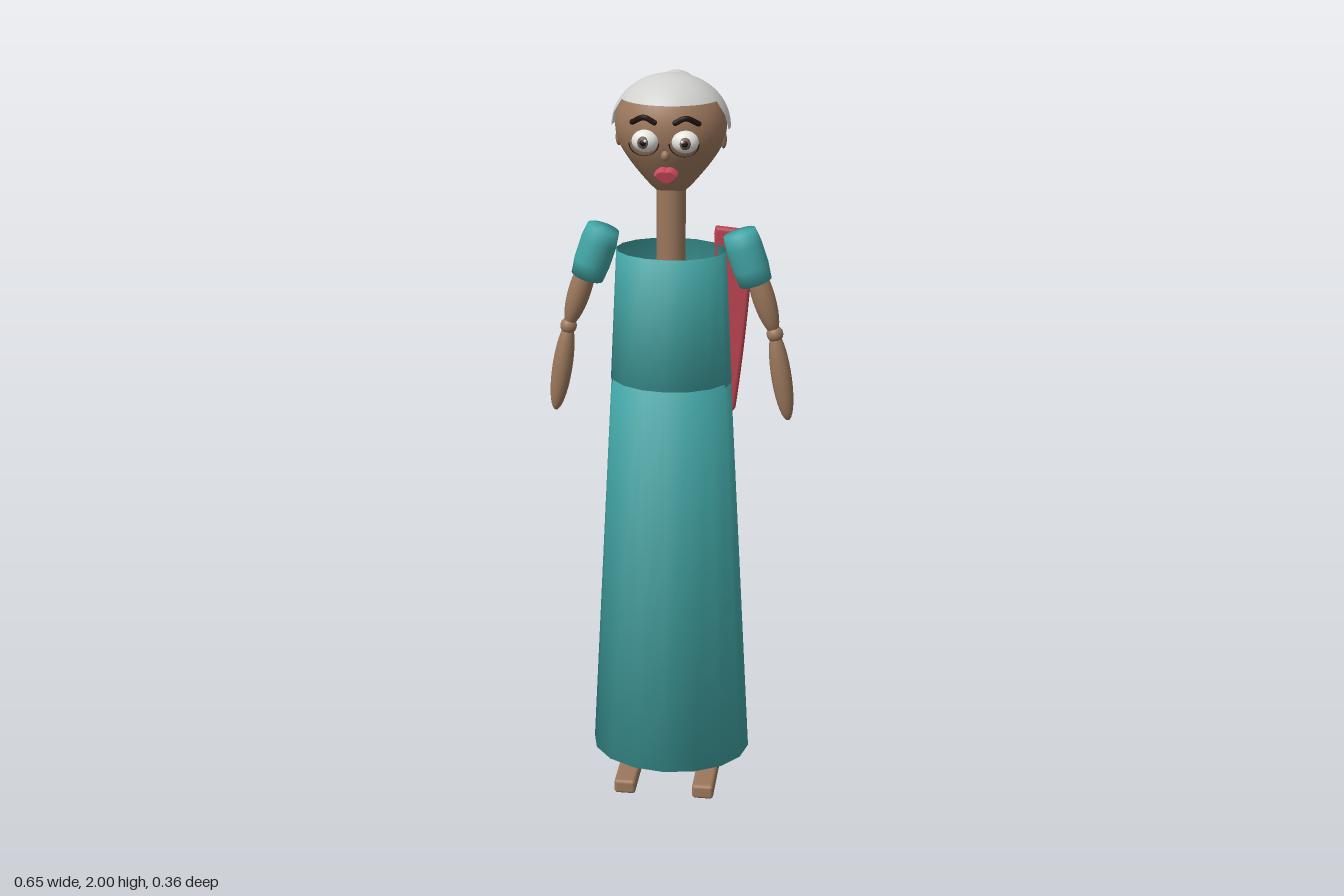
import * as THREE from 'three';
import { RoundedBoxGeometry } from 'three/addons/geometries/RoundedBoxGeometry.js';

const mat = (name, color, side = THREE.FrontSide) => {
  const m = new THREE.MeshStandardMaterial({ color, side });
  m.name = name;
  return m;
};

export function createModel() {
  const root = new THREE.Group();
  root.name = 'woman';
  const teal = mat('teal cloth', 0x42a5a5, THREE.DoubleSide);
  const skin = mat('brown skin', 0x9b775c);
  const grey = mat('silver hair', 0xd0d0ce, THREE.DoubleSide);
  const red = mat('red shawl', 0xb9434f);
  const pink = mat('lips', 0xcc4a5c);
  const white = mat('eye white', 0xf0eeea);
  const iris = mat('iris', 0x6e5a50);
  const dark = mat('dark brown', 0x20140f);

  const V = (x, y, z = 0) => new THREE.Vector3(x, y, z);
  const add = (name, geo, material, parent = root) => {
    const m = new THREE.Mesh(geo, material);
    m.name = name;
    parent.add(m);
    return m;
  };
  const ball = (name, material, p, rx, ry = rx, rz = rx, seg = 24) => {
    const geo = new THREE.SphereGeometry(1, seg, Math.ceil(seg * 0.7));
    geo.scale(rx, ry, rz);
    const m = add(name, geo, material);
    m.position.copy(p);
    return m;
  };
  // turn a part whose axis is y so that it runs from a to b
  const along = (mesh, a, b) => {
    mesh.position.copy(a).lerp(b, 0.5);
    mesh.quaternion.setFromUnitVectors(V(0, 1), b.clone().sub(a).normalize());
    return mesh;
  };
  const limb = (name, a, b, r) => along(ball(name, skin, a, r, a.distanceTo(b) / 2, r), a, b);

  // open tapered cloth tube, oval in plan, with softly rolled rims
  const cloth = (name, y0, y1, rx0, rx1, depth) => {
    const geo = new THREE.CylinderGeometry(rx1, rx0, y1 - y0, 16, 1, true);
    const n = geo.attributes.normal, p = geo.attributes.position;
    for (let i = 0; i < n.count; i++) {
      const v = V(n.getX(i), Math.sign(p.getY(i)) * 0.6, n.getZ(i)).normalize();
      n.setXYZ(i, v.x, v.y, v.z);
    }
    geo.scale(1, 1, depth);
    add(name, geo, teal).position.y = (y0 + y1) / 2;
  };
  cloth('skirt', 0.085, 1.195, 0.222, 0.16, 0.8);
  cloth('bodice', 1.185, 1.545, 0.162, 0.144, 0.75);

  // neck and egg-shaped head
  add('neck', new THREE.CylinderGeometry(0.038, 0.038, 0.28, 24), skin).position.y = 1.59;
  const headProfile = new THREE.SplineCurve([
    [0, 1.695], [0.036, 1.702], [0.075, 1.742], [0.112, 1.79], [0.134, 1.83],
    [0.142, 1.872], [0.134, 1.915], [0.108, 1.955], [0.06, 1.98], [0, 1.988],
  ].map(([x, y]) => new THREE.Vector2(x, y)));
  const headPoints = headProfile.getPoints(32);
  headPoints.forEach((p) => { p.x = Math.max(0, p.x); });
  const headGeo = new THREE.LatheGeometry(headPoints, 36);
  headGeo.scale(1, 1, 0.85);
  add('head', headGeo, skin);

  // hair cap: a dome whose hem is high over the face and low at the back
  const hairGeo = new THREE.SphereGeometry(1, 72, 20, 0, Math.PI * 2, 0, Math.PI / 2);
  const hp = hairGeo.attributes.position, hn = hairGeo.attributes.normal;
  for (let i = 0; i < hp.count; i++) {
    const a = Math.atan2(hp.getX(i), hp.getZ(i));
    const hem = THREE.MathUtils.lerp(0.54, -0.03, THREE.MathUtils.smoothstep(Math.abs(a), 1.22, 1.4));
    const t = Math.acos(THREE.MathUtils.clamp(hp.getY(i), -1, 1)) * Math.acos(hem) / (Math.PI / 2);
    const v = V(Math.sin(t) * Math.sin(a), Math.cos(t), Math.sin(t) * Math.cos(a));
    hp.setXYZ(i, v.x, v.y, v.z);
    hn.setXYZ(i, v.x, v.y, v.z);
  }
  hairGeo.scale(0.151, 0.13, 0.14);
  add('hair', hairGeo, grey).position.y = 1.87;
  ball('bun', grey, V(0, 1.928, -0.106), 0.06);

  // nose and mouth
  ball('nose', skin, V(0, 1.815, 0.108), 0.011, 0.014, 0.014);
  const lips = new THREE.Shape();
  lips.moveTo(-0.027, 0.004);
  lips.quadraticCurveTo(-0.012, 0.022, 0, 0.013);
  lips.quadraticCurveTo(0.012, 0.022, 0.027, 0.004);
  lips.quadraticCurveTo(0, -0.036, -0.027, 0.004);
  const mouth = add('lips', new THREE.ExtrudeGeometry(lips, {
    depth: 0.02, bevelSize: 0.002, bevelThickness: 0.003, bevelSegments: 2,
  }), pink);
  mouth.position.set(0, 1.765, 0.086);
  mouth.rotation.x = 0.3;

  // sleeve profile, closed at both ends
  const sleevePoints = [[0, -0.072], [0.043, -0.072], [0.048, -0.03], [0.048, 0.03], [0.043, 0.068], [0, 0.072]]
    .map(([x, y]) => new THREE.Vector2(x, y));

  for (const s of [-1, 1]) {
    const side = s > 0 ? 'left' : 'right';

    // eye, brow, spectacle rim and ear
    ball(side + 'Eye', white, V(s * 0.05, 1.852, 0.113), 0.034, 0.028, 0.027);
    ball(side + 'Iris', iris, V(s * 0.052, 1.852, 0.133), 0.016, 0.016, 0.009);
    ball(side + 'Pupil', dark, V(s * 0.052, 1.852, 0.138), 0.009, 0.009, 0.006);
    ball(side + 'Glint', white, V(s * 0.046, 1.858, 0.144), 0.004, 0.004, 0.004, 12);
    const brow = new THREE.CatmullRomCurve3([
      V(s * 0.026, 1.9, 0.122), V(s * 0.052, 1.912, 0.122), V(s * 0.083, 1.897, 0.108)]);
    add(side + 'Brow', new THREE.TubeGeometry(brow, 12, 0.007, 8), dark);
    for (const p of [brow.points[0], brow.points[2]]) ball(side + 'BrowTip', dark, p, 0.007, 0.007, 0.007, 10);
    const rim = add(side + 'SpectacleRim', new THREE.TorusGeometry(0.037, 0.0015, 6, 24, Math.PI), dark);
    rim.position.set(s * 0.05, 1.852, 0.138);
    rim.rotation.z = Math.PI;
    rim.scale.y = 0.85;
    ball(side + 'Ear', skin, V(s * 0.134, 1.835, 0), 0.008, 0.022, 0.014);

    // arm
    const elbow = V(s * 0.274, 1.325);
    along(add(side + 'Sleeve', new THREE.LatheGeometry(sleevePoints, 24), teal),
      V(s * 0.221, 1.465), V(s * 0.176, 1.598));
    limb(side + 'UpperArm', elbow, V(s * 0.208, 1.53), 0.03);
    ball(side + 'Elbow', skin, elbow, 0.022);
    limb(side + 'Forearm', V(s * 0.314, 1.085), V(s * 0.272, 1.335), 0.027);

    // foot
    add(side + 'Foot', new RoundedBoxGeometry(0.06, 0.042, 0.19, 3, 0.01), skin)
      .position.set(s * 0.11, 0.021, 0.075);
  }

  // tapering shawl end hanging behind the left shoulder
  const shawl = new THREE.Shape();
  shawl.moveTo(0.115, 1.58);
  shawl.lineTo(0.195, 1.573);
  shawl.quadraticCurveTo(0.202, 1.573, 0.2, 1.56);
  shawl.quadraticCurveTo(0.185, 1.3, 0.157, 1.09);
  shawl.quadraticCurveTo(0.15, 1.075, 0.143, 1.09);
  shawl.quadraticCurveTo(0.125, 1.3, 0.113, 1.57);
  const shawlGeo = new THREE.ExtrudeGeometry(shawl, {
    depth: 0.006, bevelThickness: 0.01, bevelSize: 0.009, bevelSegments: 4, curveSegments: 12,
  });
  shawlGeo.translate(0, 0, -0.08);
  add('shawl', shawlGeo, red);

  return root;
}
